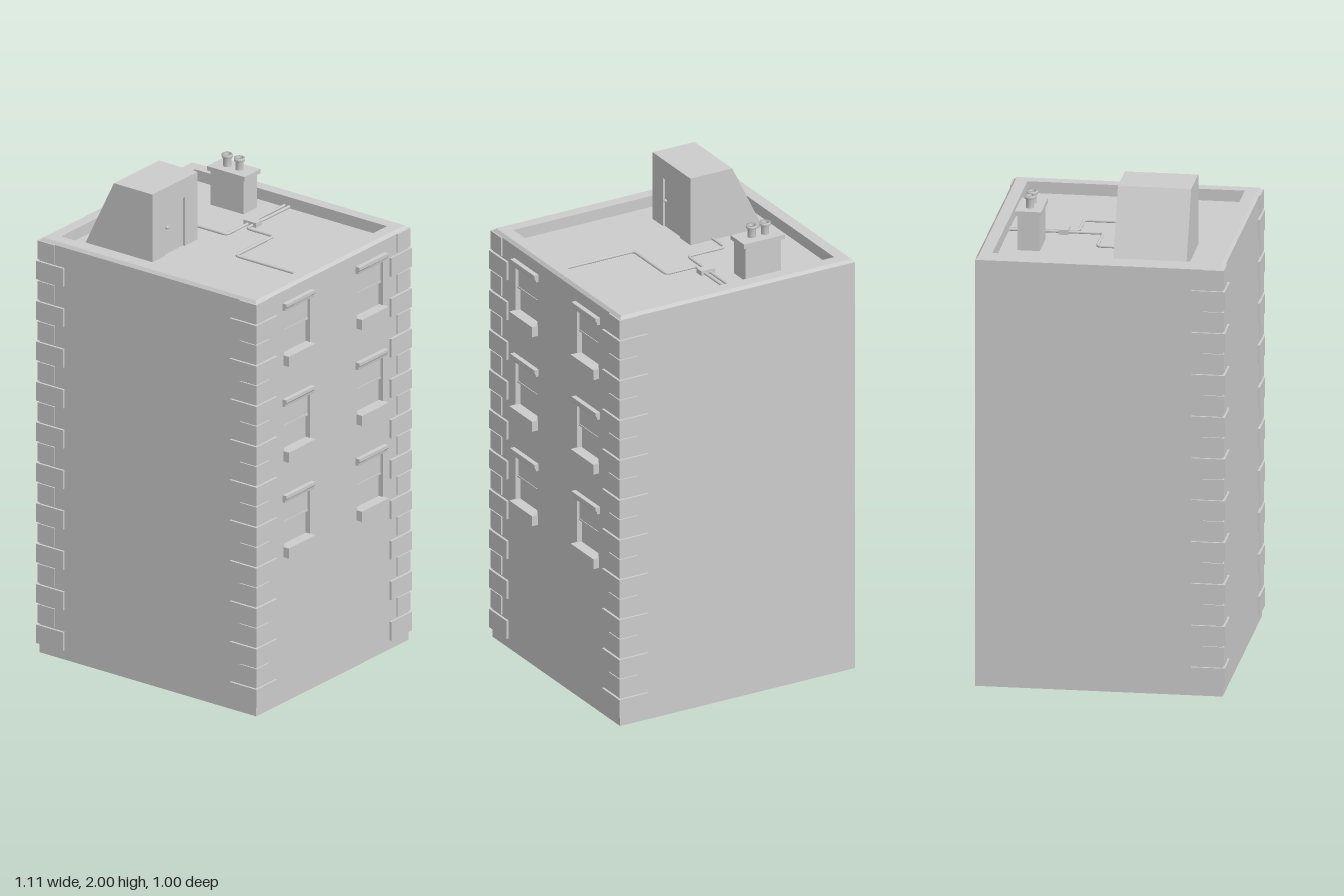
import * as THREE from 'three';

const X0 = -0.545, X1 = 0.525, Z = 0.49;   // outer faces of the walls
const WALL_TOP = 1.748, RIM = 1.76, FLOOR = 1.713;

const material = new THREE.MeshStandardMaterial({ color: 0xcccccc });
const shellMaterial = new THREE.MeshStandardMaterial({ color: 0xcccccc, side: THREE.DoubleSide });

function add(parent, name, geometry, x = 0, y = 0, z = 0, mat = material) {
  const mesh = new THREE.Mesh(geometry, mat);
  mesh.name = name;
  mesh.position.set(x, y, z);
  parent.add(mesh);
  return mesh;
}

function box(parent, name, x0, x1, y0, y1, z0, z1) {
  return add(parent, name, new THREE.BoxGeometry(x1 - x0, y1 - y0, z1 - z0),
    (x0 + x1) / 2, (y0 + y1) / 2, (z0 + z1) / 2);
}

const polygon = (points) => new THREE.Shape(points.map(([x, y]) => new THREE.Vector2(x, y)));
const rectangle = (a, b, c, d) => polygon([[a, c], [b, c], [b, d], [a, d]]);
const extrude = (shape, depth) => new THREE.ExtrudeGeometry(shape, { depth, bevelEnabled: false });

// Outer walls, chamfered parapet and sunken roof from stacked rectangles; the right wall is separate
function shellGeometry() {
  const ring = (inset, y) => [
    [X0 + inset, y, Z - inset], [X1 - inset, y, Z - inset],
    [X1 - inset, y, -Z + inset], [X0 + inset, y, -Z + inset]];
  const rings = [ring(0, 0), ring(0, WALL_TOP), ring(0.011, RIM), ring(0.06, RIM), ring(0.06, FLOOR)];
  const positions = [];
  const quad = (a, b, c, d) => positions.push(...a, ...b, ...c, ...a, ...c, ...d);
  for (let i = 0; i < rings.length - 1; i++) {
    for (let j = 0; j < 4; j++) {
      if (i === 0 && j === 1) continue;
      const k = (j + 1) % 4;
      quad(rings[i][j], rings[i][k], rings[i + 1][k], rings[i + 1][j]);
    }
  }
  quad(...rings[rings.length - 1]);
  const geometry = new THREE.BufferGeometry();
  geometry.setAttribute('position', new THREE.Float32BufferAttribute(positions, 3));
  geometry.computeVertexNormals();
  return geometry;
}

// Pipe along right-angled points with rounded bends
function pipe(parent, name, points) {
  const y = FLOOR + 0.007;
  const p = points.map(([x, z]) => new THREE.Vector3(x, y, z));
  const path = new THREE.CurvePath();
  let start = p[0];
  for (let i = 1; i < p.length; i++) {
    if (i === p.length - 1) {
      path.add(new THREE.LineCurve3(start, p[i]));
      break;
    }
    const toward = (q) => p[i].clone().add(q.clone().sub(p[i]).setLength(0.018));
    const before = toward(p[i - 1]), after = toward(p[i + 1]);
    path.add(new THREE.LineCurve3(start, before));
    path.add(new THREE.QuadraticBezierCurve3(before, p[i], after));
    start = after;
  }
  add(parent, name, new THREE.TubeGeometry(path, 120, 0.006, 8));
}

function addWindow(parent, z, sillBottom) {
  const win = new THREE.Group();
  win.name = 'window';
  win.position.set(X1, sillBottom, z);
  // Moulded hood
  const hood = polygon([[0, 0.235], [0.012, 0.235], [0.014, 0.246], [0.02, 0.252], [0.02, 0.265], [0, 0.265]]);
  add(win, 'windowHood', extrude(hood, 0.186), 0, 0, -0.093);
  box(win, 'windowSill', -0.02, 0.027, 0, 0.043, -0.087, 0.087);
  // Upper sash sits in front of the lower one
  box(win, 'upperSash', -0.026, -0.012, 0.138, 0.24, -0.085, 0.085);
  box(win, 'lowerSash', -0.032, -0.022, 0.04, 0.145, -0.085, 0.085);
  box(win, 'meetingRail', -0.024, -0.009, 0.137, 0.144, -0.085, 0.085);
  parent.add(win);
}

// Alternating long and short corner stones
function addQuoins(parent, sx, sz) {
  const group = new THREE.Group();
  group.name = 'cornerStones';
  const cx = sx > 0 ? X1 : X0, cz = sz * Z;
  for (let i = 0; i < 20; i++) {
    const long = i % 2 === 0;
    const out = long ? 0.01 : 0.006;
    const arm = long ? 0.124 : 0.078;
    const shape = polygon([[out, out], [-arm, out], [-arm, 0], [0, 0], [0, -arm], [out, -arm]]
      .map(([u, v]) => [cx + sx * u, -(cz + sz * v)]));
    add(group, 'cornerStone', extrude(shape, 0.078).rotateX(-Math.PI / 2), 0, 0.04 + i * 0.0858, 0);
  }
  parent.add(group);
}

export function createModel() {
  const model = new THREE.Group();
  model.name = 'building';

  add(model, 'wallsAndRoof', shellGeometry(), 0, 0, 0, shellMaterial);

  // Right wall with window openings
  const wall = rectangle(-Z, Z, 0, WALL_TOP);
  const wallGroup = new THREE.Group();
  wallGroup.name = 'windows';
  for (const z of [0.228, -0.242]) {
    for (const y of [1.432, 1.025, 0.618]) {
      wall.holes.push(rectangle(-z - 0.083, -z + 0.083, y + 0.02, y + 0.237));
      addWindow(wallGroup, z, y);
    }
  }
  add(model, 'rightWall', extrude(wall, 0.03).rotateY(Math.PI / 2), X1 - 0.03, 0, 0);
  model.add(wallGroup);

  for (const [sx, sz] of [[-1, 1], [1, 1], [1, -1]]) addQuoins(model, sx, sz);

  // Stair house with a sloping back and a recessed door
  const shed = new THREE.Group();
  shed.name = 'stairHouse';
  const profile = polygon([[-0.44, FLOOR], [-0.118, FLOOR], [-0.118, 2], [-0.3, 2]]);
  add(shed, 'stairHouseBody', extrude(profile, 0.29), 0, 0, 0.04);
  const face = polygon([[-0.33, FLOOR], [-0.25, FLOOR], [-0.25, 1.92], [-0.122, 1.92],
    [-0.122, FLOOR], [-0.04, FLOOR], [-0.04, 2], [-0.33, 2]]);
  add(shed, 'doorSurround', extrude(face, 0.008).rotateY(Math.PI / 2), -0.118, 0, 0);
  add(shed, 'doorKnob', new THREE.SphereGeometry(0.007, 10, 8), -0.111, 1.828, 0.234);
  model.add(shed);

  // Chimney with two pots
  const chimney = new THREE.Group();
  chimney.name = 'chimney';
  box(chimney, 'chimneyStack', -0.285, -0.123, FLOOR, 1.86, -0.36, -0.272);
  box(chimney, 'chimneyCap', -0.298, -0.112, 1.858, 1.876, -0.368, -0.265);
  const potProfile = [[0.016, 0], [0.016, 0.035], [0.022, 0.038], [0.022, 0.05], [0.012, 0.05], [0.012, 0.01], [0, 0.01]]
    .map(([r, y]) => new THREE.Vector2(r, y));
  for (const x of [-0.237, -0.177]) {
    const pot = new THREE.LatheGeometry(potProfile, 20);
    add(chimney, 'chimneyPot', pot, x, 1.876, -0.317, shellMaterial);
  }
  model.add(chimney);

  // Roof pipes and their junction box
  pipe(model, 'shedPipe', [[-0.041, -0.43], [-0.041, -0.056], [-0.21, -0.056], [-0.21, 0.045]]);
  pipe(model, 'edgePipe', [[-0.018, -0.43], [-0.018, -0.155], [0.117, -0.155], [0.117, 0.092], [0.465, 0.092]]);
  box(model, 'junctionBox', -0.061, 0.001, FLOOR, FLOOR + 0.02, -0.23, -0.192);

  return model;
}
